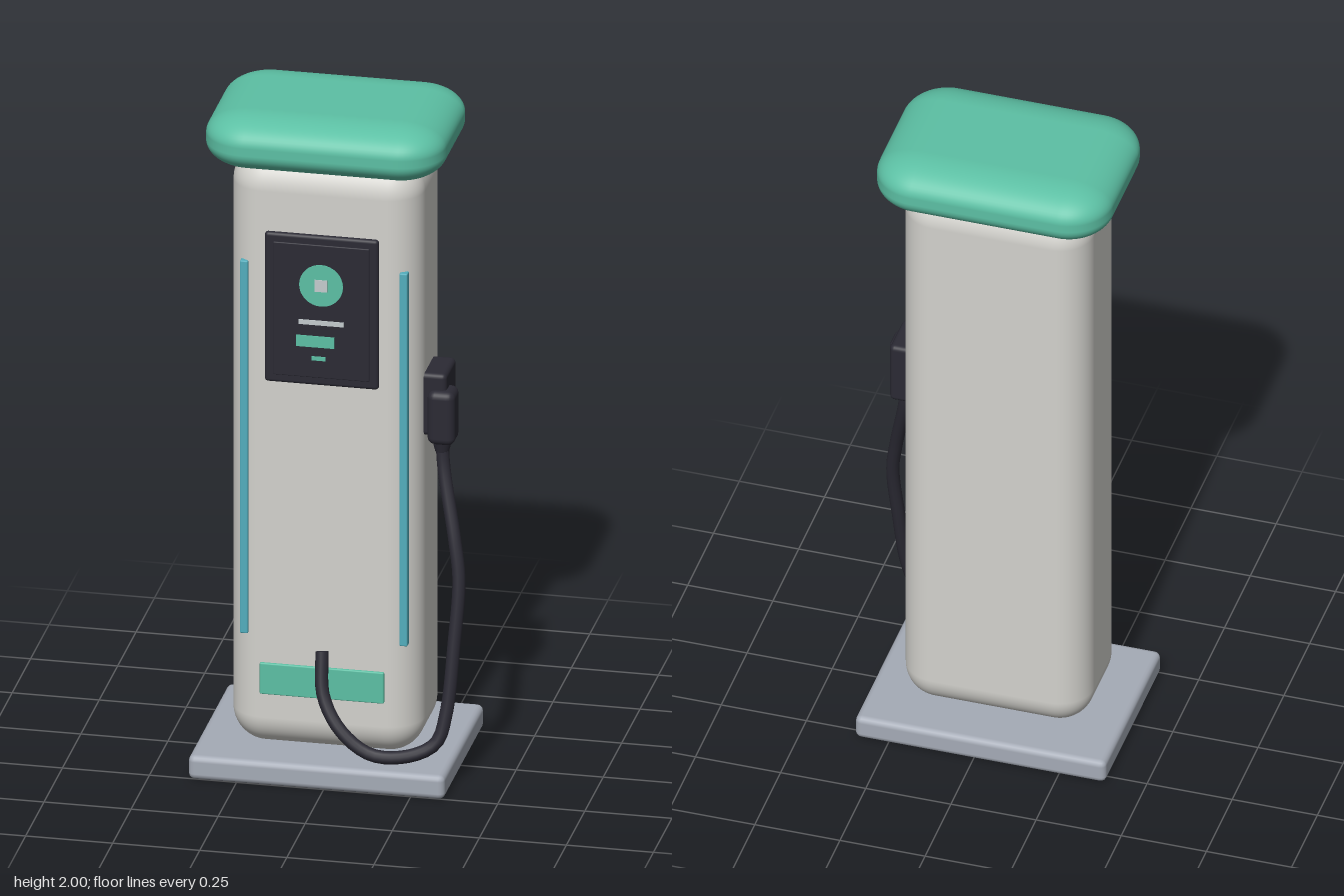
import * as THREE from 'three';
import { RoundedBoxGeometry } from 'three/addons/geometries/RoundedBoxGeometry.js';

const mat = (name, color) => {
  const m = new THREE.MeshStandardMaterial({ color });
  m.name = name;
  return m;
};

export function createModel() {
  const group = new THREE.Group();
  group.name = 'chargingStation';
  const shell = mat('warmWhite', 0xd3d2cd);
  const green = mat('green', 0x5cc0a4);
  const steel = mat('steelGrey', 0xa5abb6);
  const dark = mat('charcoal', 0x2b2a34);
  const cyan = mat('cyan', 0x52aebd);
  const pale = mat('paleGrey', 0xc4ccce);

  const add = (name, geometry, material, x = 0, y = 0, z = 0) => {
    const mesh = new THREE.Mesh(geometry, material);
    mesh.name = name;
    mesh.position.set(x, y, z);
    group.add(mesh);
    return mesh;
  };
  // Rounded box given by its extents on each axis
  const block = (name, material, [x0, x1], [y0, y1], [z0, z1], r, seg = 3) =>
    add(name, new RoundedBoxGeometry(x1 - x0, y1 - y0, z1 - z0, seg, r), material,
      (x0 + x1) / 2, (y0 + y1) / 2, (z0 + z1) / 2);

  // Base plate and cabinet
  block('basePlate', steel, [-0.388, 0.348], [0, 0.072], [-0.287, 0.261], 0.018, 2);
  block('cabinet', shell, [-0.295, 0.254], [0.07, 1.875], [-0.185, 0.168], 0.1, 8);

  // Cushion-shaped roof: rounded box flattened vertically
  const roof = new RoundedBoxGeometry(0.688, 0.3, 0.498, 8, 0.13);
  roof.scale(1, 0.165 / 0.3, 1);
  add('roof', roof, green, -0.021, 1.9175, -0.012);

  // Light strips on both front corners
  for (const side of [-1, 1]) {
    block('lightStrip', cyan, [-0.018 + side * 0.229 - 0.012, -0.018 + side * 0.229 + 0.012],
      [0.42, 1.557], [0.14, 0.167], 0.004, 1);
  }

  // Display housing
  block('display', dark, [-0.185, 0.142], [1.2, 1.656], [0.14, 0.18], 0.01);
  block('displayGlass', dark, [-0.16, 0.117], [1.225, 1.63], [0.176, 0.183], 0.003, 1);

  // Display graphics as thin plates
  const disc = new THREE.CylinderGeometry(0.063, 0.063, 0.004, 32);
  disc.rotateX(Math.PI / 2);
  add('statusDisc', disc, green, -0.021, 1.508, 0.184);
  const plate = (name, material, w, h, x, y, z = 0.184) =>
    add(name, new THREE.BoxGeometry(w, h, 0.004), material, x, y, z);
  plate('statusMark', pale, 0.036, 0.036, -0.021, 1.508, 0.186);
  plate('infoBar', pale, 0.13, 0.014, -0.021, 1.394);
  plate('progressBar', green, 0.11, 0.034, -0.038, 1.336);
  plate('smallBar', green, 0.04, 0.012, -0.028, 1.285);

  // Lower front panel
  block('lowerPanel', green, [-0.2, 0.157], [0.243, 0.338], [0.15, 0.176], 0.004, 1);

  // Plug holster and plug on the side
  block('holster', dark, [0.235, 0.317], [1.033, 1.223], [-0.054, 0.085], 0.014);
  block('plug', dark, [0.264, 0.343], [1.012, 1.175], [0.021, 0.106], 0.022);
  add('plugCollar', new THREE.CylinderGeometry(0.03, 0.02, 0.04, 16), dark, 0.301, 1.004, 0.063);

  // Hanging cable from plug to lower front
  const path = new THREE.CatmullRomCurve3([
    [0.3, 1.03, 0.06], [0.307, 0.94, 0.07], [0.35, 0.74, 0.125], [0.367, 0.63, 0.148],
    [0.36, 0.45, 0.18], [0.345, 0.25, 0.217], [0.32, 0.165, 0.237], [0.25, 0.127, 0.255],
    [0.14, 0.122, 0.26], [0.05, 0.18, 0.247], [-0.008, 0.27, 0.215], [-0.02, 0.39, 0.178],
  ].map((p) => new THREE.Vector3(...p)));
  add('cable', new THREE.TubeGeometry(path, 60, 0.019, 12), dark);
  const end = path.getPointAt(1);
  const cap = add('cableEnd', new THREE.CircleGeometry(0.019, 12), dark, end.x, end.y, end.z);
  cap.lookAt(end.clone().add(path.getTangentAt(1)));

  return group;
}
